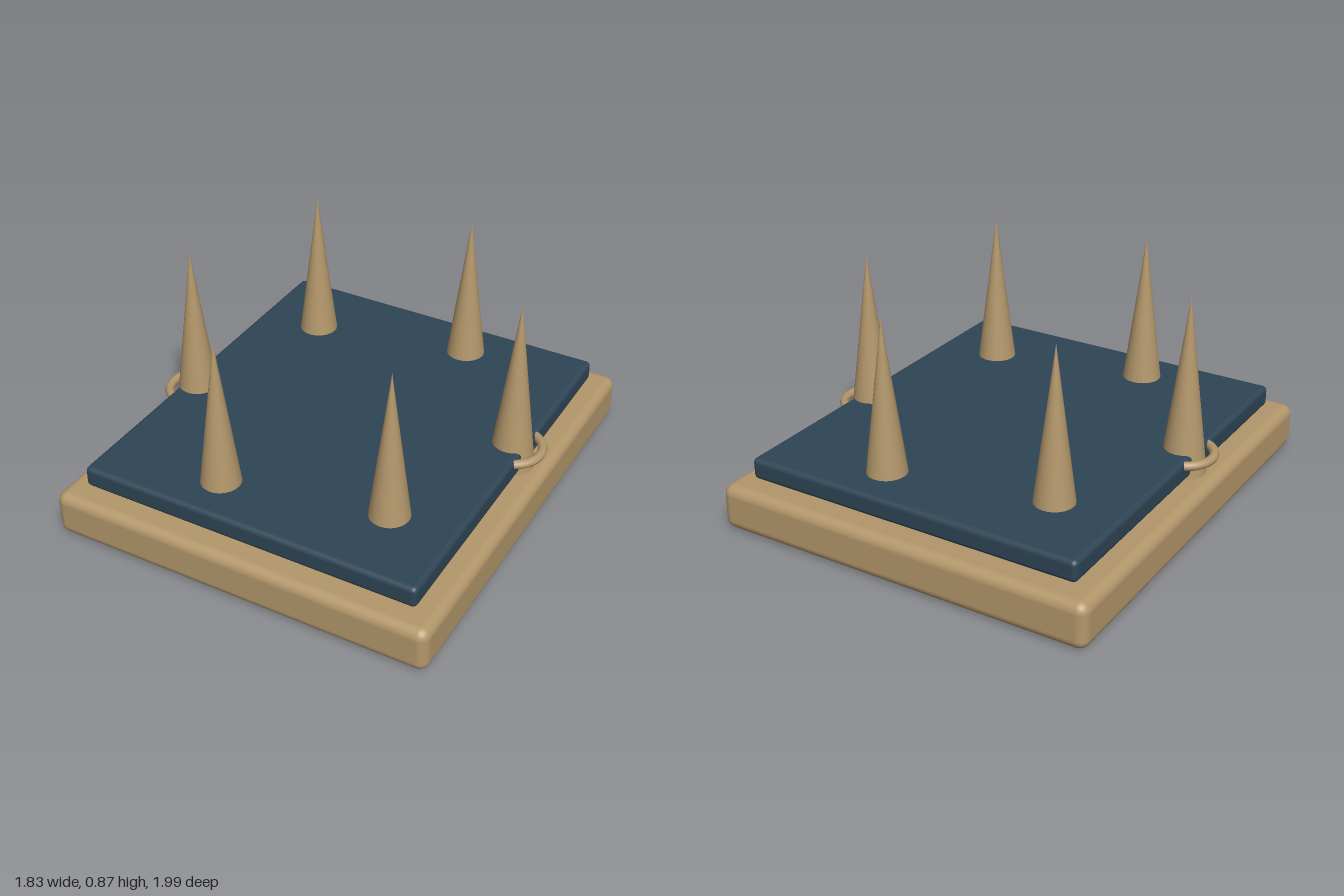
import * as THREE from 'three';
import { RoundedBoxGeometry } from 'three/addons/geometries/RoundedBoxGeometry.js';

export function createModel() {
  const model = new THREE.Group();
  model.name = 'spikedBoard';

  const wood = new THREE.MeshStandardMaterial({ color: 0xb3976b });
  wood.name = 'tan wood';
  const slate = new THREE.MeshStandardMaterial({ color: 0x2f4556 });
  slate.name = 'slate blue';

  const add = (name, geometry, material, x, y, z, parent = model) => {
    const mesh = new THREE.Mesh(geometry, material);
    mesh.name = name;
    mesh.position.set(x, y, z);
    parent.add(mesh);
    return mesh;
  };

  // Board and inset panel, turned a little about the vertical
  const board = new THREE.Group();
  board.name = 'board';
  board.rotation.y = -0.2;
  model.add(board);
  add('base', new RoundedBoxGeometry(1.53, 0.18, 1.74, 4, 0.04), wood, 0, 0.09, 0, board);
  add('panel', new RoundedBoxGeometry(1.362, 0.085, 1.567, 3, 0.02), slate, 0, 0.2325, 0, board);

  // Six tall spikes, each with a collar ring sunk into the panel
  const spike = new THREE.ConeGeometry(0.09, 0.7, 32);
  const ring = new THREE.TorusGeometry(0.114, 0.018, 10, 40).rotateX(Math.PI / 2);
  for (const side of [-1, 1]) {
    for (const [x, z] of [[0.317, -0.55], [0.635, 0], [0.317, 0.55]]) {
      add('spike', spike, wood, side * x, 0.52, z);
      add('collarRing', ring, wood, side * x, 0.253, z);
    }
  }
  return model;
}
